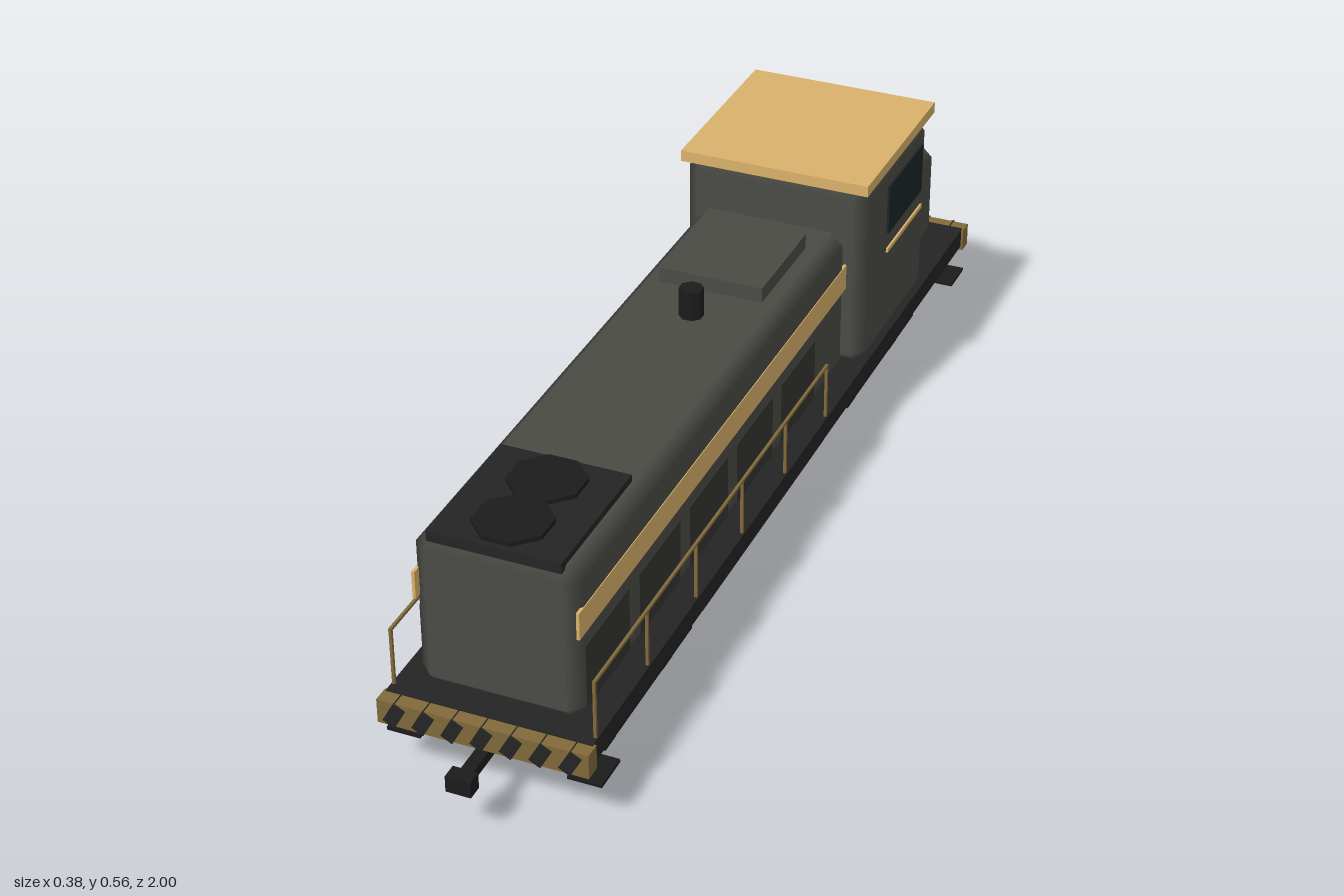
import * as THREE from 'three';
import { ConvexGeometry } from 'three/addons/geometries/ConvexGeometry.js';

const mat = (color, flatShading = false) => new THREE.MeshStandardMaterial({ color, flatShading, roughness: 0.8 });
const BODY = mat(0x4a4a45), DARK = mat(0x242424), BLACK = mat(0x1b1b1b, true), PANEL = mat(0x333331);
const GOLD = mat(0xd9b06a), OLIVE = mat(0x80693a), GLASS = mat(0x1c2326), LAMP = mat(0xe6dcb8, true);

export function createModel() {
  const root = new THREE.Group();

  const add = (name, geo, material, x = 0, y = 0, z = 0, parent = root) => {
    const m = new THREE.Mesh(geo, material);
    m.name = name;
    m.position.set(x, y, z);
    parent.add(m);
    return m;
  };

  // Plain box given by its extents on each axis
  const box = (name, material, [x0, x1], [y0, y1], [z0, z1], parent = root) =>
    add(name, new THREE.BoxGeometry(x1 - x0, y1 - y0, z1 - z0), material,
      (x0 + x1) / 2, (y0 + y1) / 2, (z0 + z1) / 2, parent);

  // Box with chamfered edges; flat faces stay flat and the chamfers shade softly
  const bevelBox = (name, material, [x0, x1], [y0, y1], [z0, z1], c) => {
    const h = [(x1 - x0) / 2, (y1 - y0) / 2, (z1 - z0) / 2];
    const pts = [];
    for (let axis = 0; axis < 3; axis++)
      for (const sx of [-1, 1]) for (const sy of [-1, 1]) for (const sz of [-1, 1]) {
        const s = [sx, sy, sz];
        pts.push(new THREE.Vector3(...h.map((v, i) => s[i] * (i === axis ? v : v - c))));
      }
    const geo = new ConvexGeometry(pts);
    const p = geo.attributes.position, n = geo.attributes.normal;
    for (let i = 0; i < p.count; i++) {
      const v = [p.getX(i), p.getY(i), p.getZ(i)];
      n.setXYZ(i, ...v.map((q, k) => (Math.abs(q) > h[k] - c / 2 ? Math.sign(q) : 0)));
    }
    return add(name, geo, material, (x0 + x1) / 2, (y0 + y1) / 2, (z0 + z1) / 2);
  };

  const octagon = (r, height) => new THREE.CylinderGeometry(r, r, height, 8).rotateY(Math.PI / 8);

  // Deck and bodies
  box('deck', DARK, [-0.18, 0.18], [0.133, 0.172], [-0.89, 0.89]);
  bevelBox('longHood', BODY, [-0.142, 0.142], [0.17, 0.457], [-0.315, 0.855], 0.024);
  bevelBox('cab', BODY, [-0.177, 0.177], [0.17, 0.54], [-0.655, -0.31], 0.025);
  bevelBox('shortHood', BODY, [-0.13, 0.13], [0.17, 0.38], [-0.852, -0.66], 0.026);
  box('cabRoof', GOLD, [-0.182, 0.182], [0.535, 0.556], [-0.67, -0.305]);

  // Long hood roof equipment
  box('fanPlate', DARK, [-0.115, 0.115], [0.45, 0.469], [0.585, 0.848]);
  for (const z of [0.654, 0.776]) add('roofFan', octagon(0.066, 0.01), BLACK, 0, 0.472, z);
  box('roofHatch', BODY, [-0.097, 0.097], [0.45, 0.485], [-0.22, -0.01]);
  add('exhaustStack', octagon(0.022, 0.07), BLACK, 0, 0.476, 0.075);

  // Side details, mirrored
  for (const s of [-1, 1]) {
    const span = (a, b) => (s > 0 ? [a, b] : [-b, -a]);
    box('hoodStripe', GOLD, span(0.138, 0.1435), [0.335, 0.385], [-0.31, 0.85]);
    for (let i = 0; i < 5; i++) {
      const z = 0.83 - i * 0.205;
      box('hoodDoor', PANEL, span(0.138, 0.1435), [0.19, 0.31], [z - 0.165, z]);
    }
    box('cabSideWindow', GLASS, span(0.17, 0.181), [0.396, 0.494], [-0.615, -0.43]);
    box('cabSideStripe', GOLD, span(0.17, 0.181), [0.356, 0.364], [-0.62, -0.43]);
    box('cabRearWindow', GLASS, span(0.018, 0.143), [0.396, 0.494], [-0.659, -0.64]);

    // Handrail
    box('handrail', OLIVE, span(0.173, 0.178), [0.276, 0.281], [-0.133, 0.873]);
    for (let i = 0; i < 6; i++) {
      const z = 0.87 - i * 0.2;
      box('handrailPost', OLIVE, span(0.173, 0.178), [0.165, 0.278], [z - 0.0025, z + 0.0025]);
    }
  }

  // Rear face of the short hood
  box('rearStripe', GOLD, [-0.102, 0.102], [0.267, 0.338], [-0.857, -0.84]);
  add('headlight', octagon(0.021, 0.02).rotateX(Math.PI / 2), LAMP, 0, 0.355, -0.858);

  // Ends: striped beam, coupler and steps
  for (const [name, turn] of [['frontEnd', 0], ['rearEnd', Math.PI]]) {
    const end = new THREE.Group();
    end.name = name;
    end.rotation.y = turn;
    root.add(end);
    box('endBeam', OLIVE, [-0.184, 0.184], [0.125, 0.17], [0.885, 0.915], end);
    for (let i = -3; i <= 3; i++) {
      const stripe = add('warningStripe', new THREE.BoxGeometry(0.023, 0.041, 0.034), DARK, i * 0.051, 0.1475, 0.902, end);
      stripe.rotation.z = -0.5;
    }
    box('couplerShank', BLACK, [-0.011, 0.011], [0.106, 0.125], [0.86, 0.975], end);
    box('couplerHead', BLACK, [-0.022, 0.022], [0.1, 0.13], [0.972, 1], end);
    for (const s of [-1, 1]) {
      add('step', new THREE.BoxGeometry(0.06, 0.006, 0.07), BLACK, s * 0.159, 0.085, 0.845, end);
      if (turn) add('markerLight', octagon(0.013, 0.012).rotateX(Math.PI / 2), LAMP, s * 0.15, 0.148, 0.92, end);
    }
  }

  // Fuel tank under the deck
  bevelBox('fuelTank', DARK, [-0.134, 0.134], [0.033, 0.136], [-0.25, 0.355], 0.012);

  // Trucks
  for (const z of [0.565, -0.562]) {
    const truck = new THREE.Group();
    truck.name = 'truck';
    truck.position.z = z;
    root.add(truck);
    box('bolster', BLACK, [-0.139, 0.139], [0.083, 0.122], [-0.05, 0.05], truck);
    box('pivot', BLACK, [-0.05, 0.05], [0.1, 0.14], [-0.04, 0.04], truck);
    for (const s of [-1, 1]) {
      add('sideFrame', new THREE.BoxGeometry(0.02, 0.044, 0.345), BLACK, s * 0.125, 0.065, 0, truck);
      const axle = add('axle', new THREE.CylinderGeometry(0.012, 0.012, 0.23, 8), BLACK, 0, 0.05, s * 0.117, truck);
      axle.rotation.z = Math.PI / 2;
      for (const x of [-0.102, 0.102])
        add('wheel', octagon(0.054, 0.022).rotateZ(Math.PI / 2), BLACK, x, 0.05, s * 0.117, truck);
    }
  }
  return root;
}
